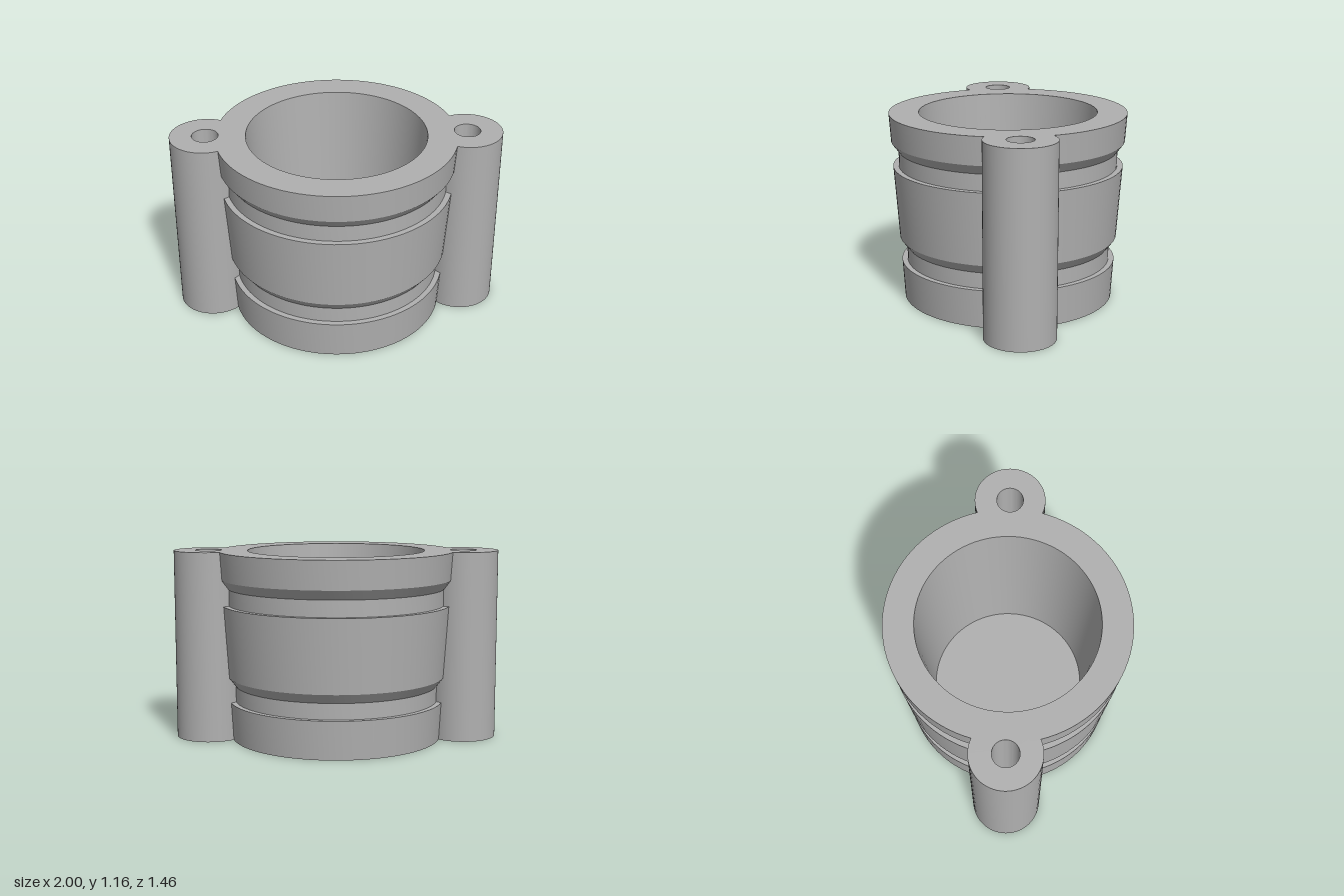
import * as THREE from 'three';
import { toCreasedNormals } from 'three/addons/utils/BufferGeometryUtils.js';

const HEIGHT = 1.165;
const LUG_X = 0.787;

// Turned solid from [radius, height] pairs
function turned(profile, segments) {
  return new THREE.LatheGeometry(profile.map(([r, y]) => new THREE.Vector2(r, y)), segments);
}

export function createModel() {
  const group = new THREE.Group();
  const grey = new THREE.MeshStandardMaterial({ color: 0xb0b0b0 });
  grey.name = 'grey';

  // Tapered cup with two chamfered grooves and a tapered cavity
  const cup = turned([
    [0, 0], [0.652, 0], [0.666, 0.235], [0.632, 0.235], [0.632, 0.332],
    [0.676, 0.39], [0.707, 0.835], [0.672, 0.835], [0.672, 0.935],
    [0.716, 0.993], [0.728, HEIGHT], [0.545, HEIGHT], [0.475, 0.12], [0, 0.12],
  ], 96);

  // Pull the wall back inside the lugs so the bolt holes stay clear
  const p = cup.attributes.position;
  for (let i = 0; i < p.count; i++) {
    const x = p.getX(i), z = p.getZ(i);
    if (Math.hypot(Math.abs(x) - LUG_X, z) < 0.15) {
      const s = Math.min(1, 0.65 / Math.hypot(x, z));
      p.setX(i, x * s);
      p.setZ(i, z * s);
    }
  }
  const cupMesh = new THREE.Mesh(toCreasedNormals(cup, 0.4), grey);
  cupMesh.name = 'cup';
  group.add(cupMesh);

  // Side lugs with through holes
  const lug = toCreasedNormals(turned([
    [0.08, 0], [0.213, 0], [0.213, HEIGHT], [0.08, HEIGHT], [0.08, 0],
  ], 64), 0.4);
  for (const [name, side] of [['leftLug', 1], ['rightLug', -1]]) {
    const mesh = new THREE.Mesh(lug, grey);
    mesh.name = name;
    mesh.position.x = side * LUG_X;
    group.add(mesh);
  }
  return group;
}
